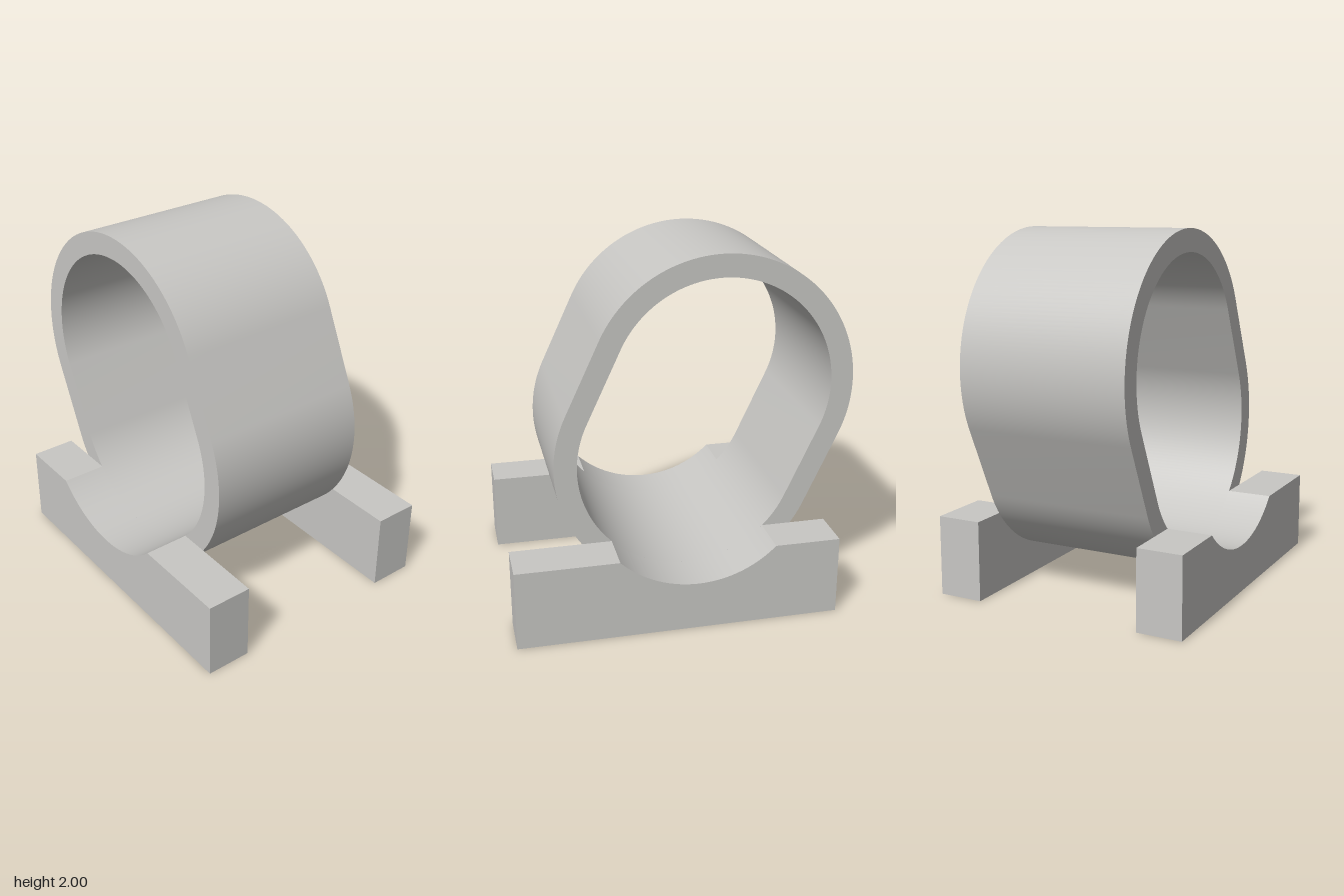
import * as THREE from 'three';
import { toCreasedNormals } from 'three/addons/utils/BufferGeometryUtils.js';

// Profile plane: u runs to the back (-z), v is up
const LOW = [0.035, 0.875], HIGH = [0.22, 1.27];
const OUTER = 0.73, INNER = 0.606;
const HALF_RING = 0.475, BLOCK_END = 0.728, BLOCK_TOP = 0.445;
const BACK = 0.825, FRONT = -0.95;
const HOLE_R = 0.077, HOLE_DEPTH = 0.18;

// Slanted oval: two half circles joined by straight sides
function oval(target, r) {
  const a = Math.atan2(HIGH[1] - LOW[1], HIGH[0] - LOW[0]), q = Math.PI / 2;
  target.absarc(HIGH[0], HIGH[1], r, a - q, a + q, false);
  target.absarc(LOW[0], LOW[1], r, a + q, a + 3 * q, false);
  target.closePath();
  return target;
}

// Extrude a profile along x, from x0 to x1
function extrudeX(shape, x0, x1) {
  const g = new THREE.ExtrudeGeometry(shape, { depth: x1 - x0, bevelEnabled: false, curveSegments: 48 });
  return g.translate(0, 0, x0).rotateY(Math.PI / 2);
}

// Remove the flat underside so that a drilled one can replace it
function withoutBottom(geometry) {
  const p = geometry.getAttribute('position'), kept = [];
  for (let i = 0; i < p.count; i += 3) {
    if ([0, 1, 2].every(k => Math.abs(p.getY(i + k)) < 1e-6)) continue;
    for (let k = 0; k < 3; k++) kept.push(p.getX(i + k), p.getY(i + k), p.getZ(i + k));
  }
  const g = new THREE.BufferGeometry();
  g.setAttribute('position', new THREE.Float32BufferAttribute(kept, 3));
  return g;
}

export function createModel() {
  const grey = new THREE.MeshStandardMaterial({ color: 0xc8c7c4 });
  grey.name = 'light grey';
  const inside = new THREE.MeshStandardMaterial({ color: 0xc8c7c4, side: THREE.BackSide });
  inside.name = 'light grey inside';

  const model = new THREE.Group();
  model.name = 'ringClampStand';
  const add = (parent, name, geometry, material = grey) => {
    const mesh = new THREE.Mesh(geometry, material);
    mesh.name = name;
    parent.add(mesh);
  };

  // Oval ring
  const ringShape = oval(new THREE.Shape(), OUTER);
  ringShape.holes.push(oval(new THREE.Path(), INNER));
  add(model, 'ovalRing', toCreasedNormals(extrudeX(ringShape, -HALF_RING, HALF_RING), 0.4));

  // Foot profile with the ring's inner curve cut into its top
  const a = Math.asin((BLOCK_TOP - LOW[1]) / INNER);
  const foot = new THREE.Shape();
  foot.moveTo(FRONT, 0);
  foot.lineTo(BACK, 0);
  foot.lineTo(BACK, BLOCK_TOP);
  foot.absarc(LOW[0], LOW[1], INNER, a, -Math.PI - a, true);
  foot.lineTo(FRONT, BLOCK_TOP);
  foot.closePath();

  const midX = (HALF_RING + BLOCK_END) / 2, midZ = -(FRONT + BACK) / 2;
  const halfW = (BLOCK_END - HALF_RING) / 2, halfL = (BACK - FRONT) / 2;

  // Underside with a round hole, centred on its own origin
  const under = new THREE.Shape();
  under.moveTo(-halfW, -halfL);
  under.lineTo(halfW, -halfL);
  under.lineTo(halfW, halfL);
  under.lineTo(-halfW, halfL);
  under.closePath();
  under.holes.push(new THREE.Path().absarc(0, 0, HOLE_R, 0, Math.PI * 2, true));

  for (const side of [1, -1]) {
    const block = new THREE.Group();
    block.name = side > 0 ? 'leftFoot' : 'rightFoot';
    const x = side * midX;
    const body = withoutBottom(extrudeX(foot, x - halfW, x + halfW));
    add(block, 'footBody', toCreasedNormals(body, 0.4));
    add(block, 'footUnderside',
      new THREE.ShapeGeometry(under, 32).rotateX(Math.PI / 2).translate(x, 0, midZ));
    // Blind screw hole
    add(block, 'holeWall',
      new THREE.CylinderGeometry(HOLE_R, HOLE_R, HOLE_DEPTH, 64, 1, true).translate(x, HOLE_DEPTH / 2, midZ), inside);
    add(block, 'holeEnd',
      new THREE.CircleGeometry(HOLE_R, 64).rotateX(Math.PI / 2).translate(x, HOLE_DEPTH, midZ));
    model.add(block);
  }
  return model;
}
